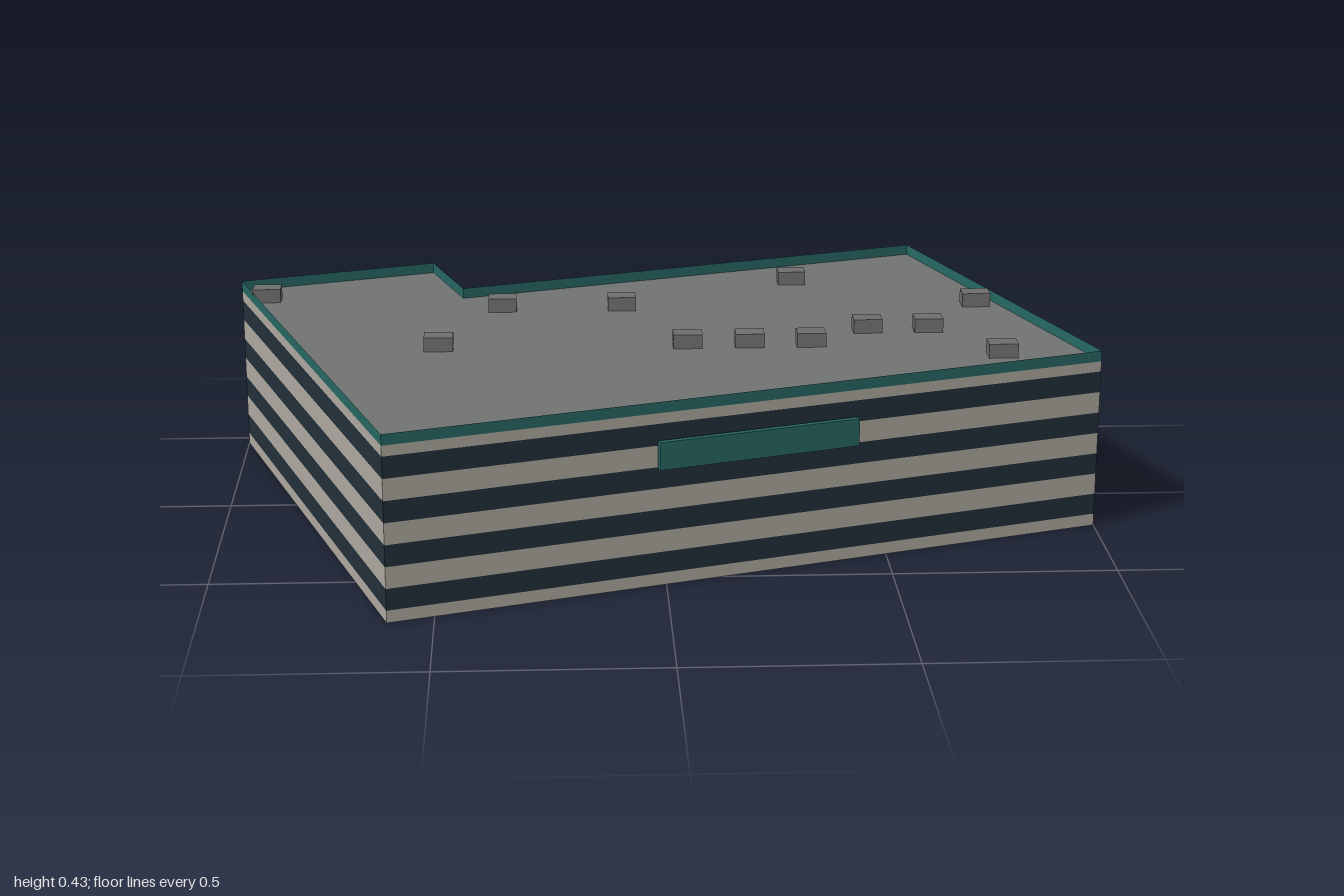
import * as THREE from 'three';

// Footprint corners as [x, z]
const FOOTPRINT = [[-1, -0.46], [-0.535, -0.61], [-0.455, -0.37], [0.677, -0.738], [1, 0.213], [-0.6, 0.738]];
const ROOF_Y = 0.395;
const TOP_Y = 0.42;

function material(name, color, doubleSided = false) {
  const m = new THREE.MeshStandardMaterial({ color });
  m.name = name;
  if (doubleSided) m.side = THREE.DoubleSide;
  return m;
}

// Thin open wall band running round the footprint between two heights
function wallBand(y0, y1) {
  const pos = [];
  FOOTPRINT.forEach(([ax, az], i) => {
    const [bx, bz] = FOOTPRINT[(i + 1) % FOOTPRINT.length];
    pos.push(bx, y0, bz, ax, y0, az, ax, y1, az);
    pos.push(bx, y0, bz, ax, y1, az, bx, y1, bz);
  });
  const g = new THREE.BufferGeometry();
  g.setAttribute('position', new THREE.Float32BufferAttribute(pos, 3));
  g.computeVertexNormals();
  return g;
}

export function createModel() {
  const model = new THREE.Group();
  model.name = 'officeBlock';

  const concrete = material('paleConcrete', 0xaea9a0, true);
  const glass = material('darkGlass', 0x22303a, true);
  const teal = material('tealTrim', 0x266863, true);
  const roofGrey = material('roofGrey', 0x717473, true);
  const unitGrey = material('roofUnitGrey', 0x6e6e6e);

  const add = (name, geometry, mat) => {
    const mesh = new THREE.Mesh(geometry, mat);
    mesh.name = name;
    model.add(mesh);
    return mesh;
  };

  // Alternating concrete and window bands
  const levels = [0, 0.028, 0.077, 0.126, 0.175, 0.224, 0.273, 0.322, 0.371, ROOF_Y];
  for (let i = 0; i < levels.length - 1; i++) {
    const isGlass = i % 2 === 1;
    add(isGlass ? 'windowBand' : 'concreteBand', wallBand(levels[i], levels[i + 1]), isGlass ? glass : concrete);
  }

  // Parapet and sunken roof
  add('parapet', wallBand(ROOF_Y, TOP_Y), teal);
  const outline = new THREE.Shape(FOOTPRINT.map(([x, z]) => new THREE.Vector2(x, -z)));
  add('roof', new THREE.ShapeGeometry(outline).rotateX(-Math.PI / 2).translate(0, ROOF_Y, 0), roofGrey);

  // Rooftop units, as [x, z]
  const units = [
    [-0.93, -0.374], [-0.358, -0.267], [-0.072, -0.267], [0.355, -0.48], [0.783, -0.267], [0.783, 0.155],
    [0.497, -0.055], [0.64, -0.055], [-0.502, 0.052], [0.07, 0.052], [0.213, 0.052], [0.355, 0.052],
  ];
  const unitHeight = 0.033;
  const unitGeometry = new THREE.BoxGeometry(0.067, unitHeight, 0.048);
  for (const [x, z] of units) {
    add('roofUnit', unitGeometry, unitGrey).position.set(x, ROOF_Y + unitHeight / 2, z);
  }

  // Blank panel standing just off the front wall
  const panel = add('frontPanel', new THREE.BoxGeometry(0.468, 0.063, 0.014), teal);
  panel.position.set(0.205, 0.304, 0.489);
  panel.rotation.y = Math.atan2(0.525, 1.6);

  return model;
}
